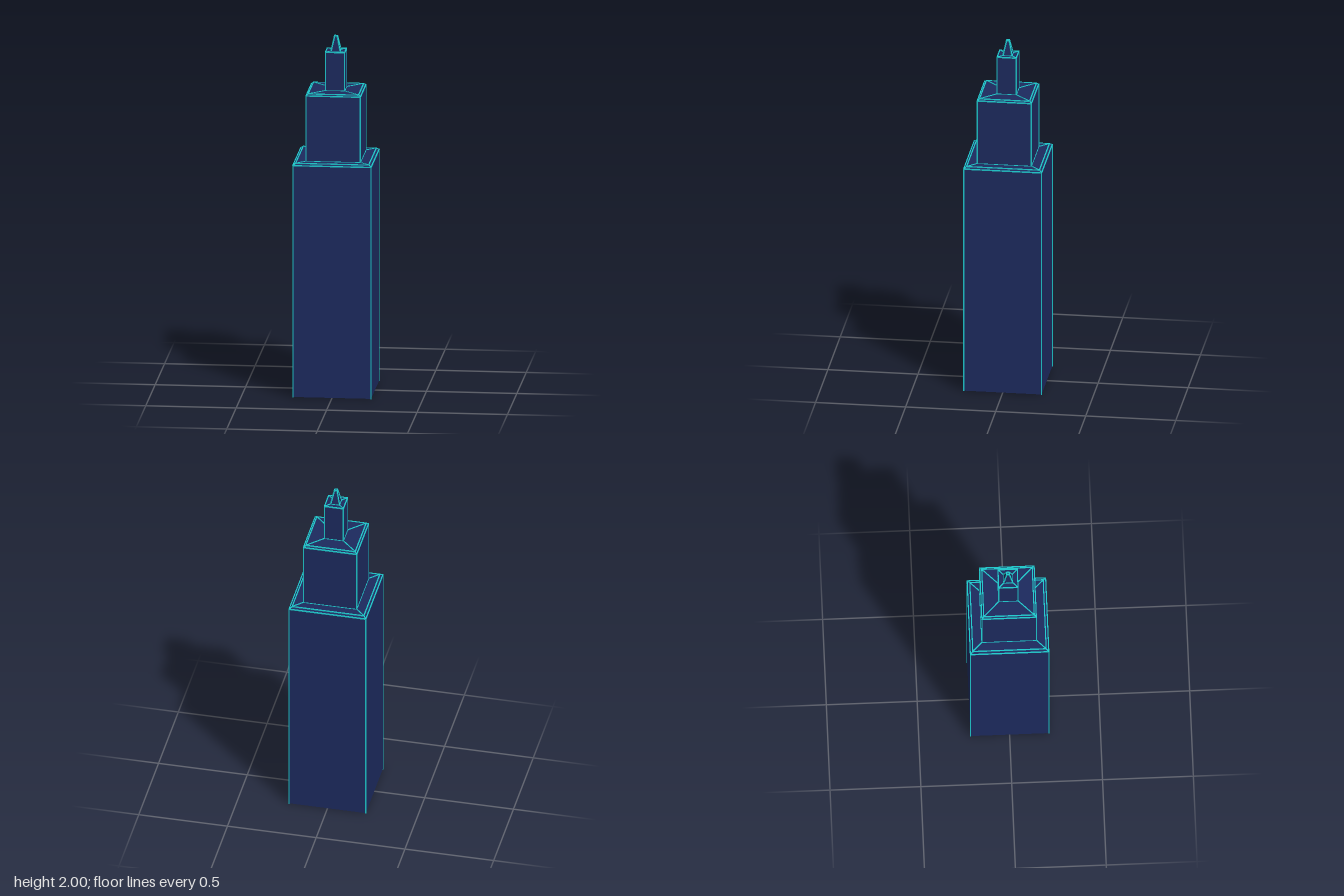
import * as THREE from 'three';

const bodyMaterial = new THREE.MeshStandardMaterial({ color: 0x1c2a5e, flatShading: true });
const trimMaterial = new THREE.MeshStandardMaterial({ color: 0x1cc8cc });
const TRIM = 0.006;

// Each tier is a square profile of [half width, height] points, bottom to top.
const TIERS = [
  { name: 'mainTower', profile: [[0.216, 0], [0.216, 1.308], [0.202, 1.318]] },
  { name: 'upperTower', profile: [[0.15, 1.318], [0.15, 1.688], [0.139, 1.697]] },
  { name: 'lantern', profile: [[0.053, 1.697], [0.053, 1.914]] },
  { name: 'spire', profile: [[0.025, 1.914], [0.007, 1.997]] },
];

// Closed square block turned from a tier profile
function squareBlock(profile) {
  const outline = profile.map(([h, y]) => new THREE.Vector2(h * Math.SQRT2, y));
  outline.unshift(new THREE.Vector2(0, profile[0][1]));
  outline.push(new THREE.Vector2(0, profile[profile.length - 1][1]));
  return new THREE.LatheGeometry(outline, 4, Math.PI / 4);
}

// Thin square bar from a to b
function bar(name, a, b) {
  const length = a.distanceTo(b);
  const mesh = new THREE.Mesh(new THREE.BoxGeometry(TRIM, TRIM, length + TRIM * 0.5), trimMaterial);
  mesh.name = name;
  mesh.position.copy(a).add(b).multiplyScalar(0.5);
  mesh.lookAt(b);
  return mesh;
}

function corner([h, y], i) {
  const sx = [1, -1, -1, 1][i % 4];
  const sz = [1, 1, -1, -1][i % 4];
  return new THREE.Vector3(sx * h, y, sz * h);
}

export function createModel() {
  const model = new THREE.Group();
  model.name = 'steppedTower';

  for (const { name, profile } of TIERS) {
    const block = new THREE.Mesh(squareBlock(profile), bodyMaterial);
    block.name = name;
    model.add(block);
  }

  // Edge trim: a ring round every level above the ground, and ribs up the four corners
  const trim = new THREE.Group();
  trim.name = 'edgeTrim';
  const levels = TIERS.flatMap((tier) => tier.profile);
  levels.forEach((level, n) => {
    for (let i = 0; i < 4; i++) {
      if (n > 0) {
        trim.add(bar('ringTrim', corner(level, i), corner(level, i + 1)));
        trim.add(bar('cornerTrim', corner(levels[n - 1], i), corner(level, i)));
      }
    }
  });
  model.add(trim);

  return model;
}
